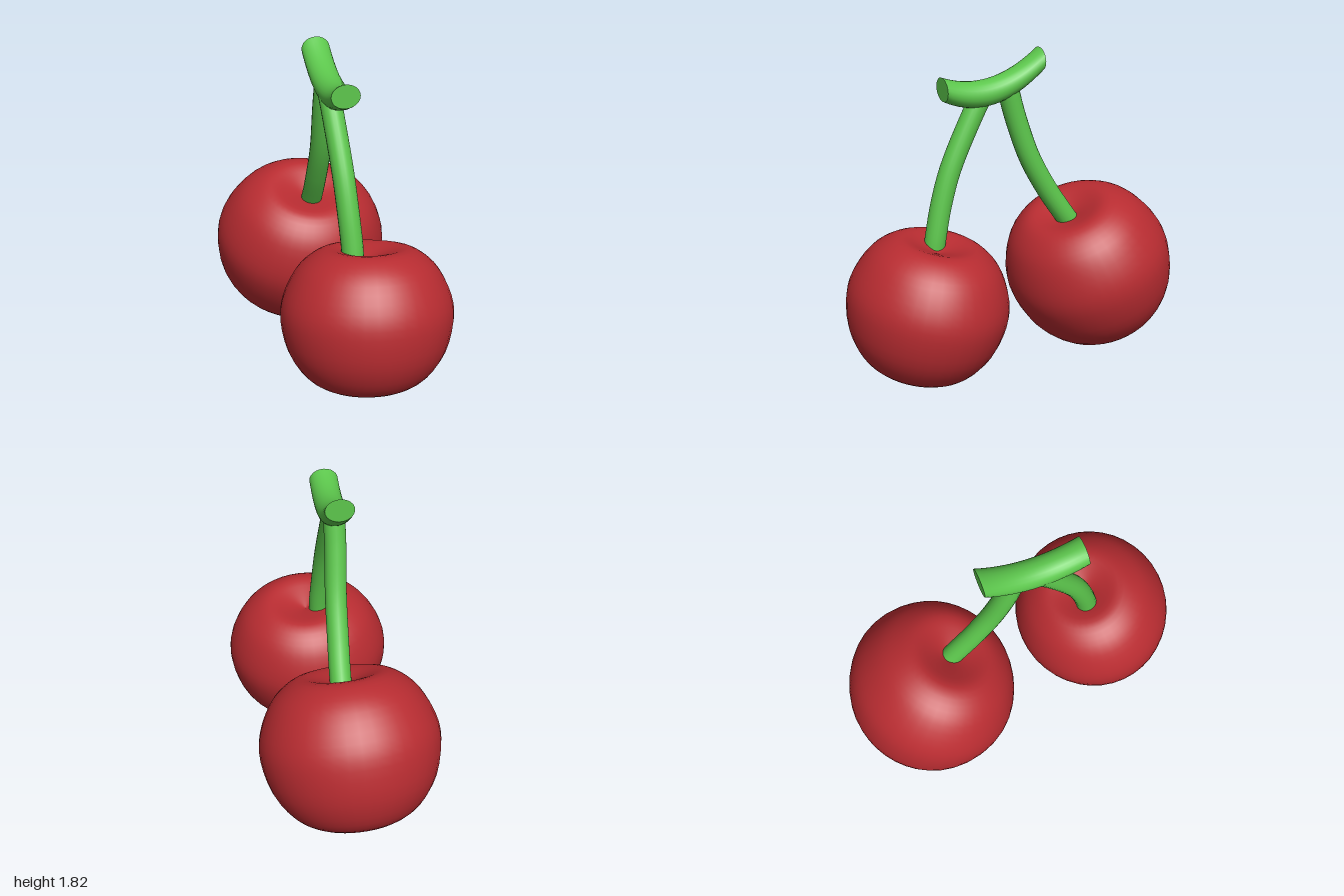
import * as THREE from 'three';
import { mergeGeometries } from 'three/addons/utils/BufferGeometryUtils.js';

const red = new THREE.MeshStandardMaterial({ color: 0xb82c31 });
const green = new THREE.MeshStandardMaterial({ color: 0x5cc64c });

function add(parent, name, geometry, material) {
  const mesh = new THREE.Mesh(geometry, material);
  mesh.name = name;
  parent.add(mesh);
  return mesh;
}

// Cherry body: squat round profile with flattened base and a dimple on top
function cherryGeometry() {
  const profile = [
    [0, -0.405], [0.1, -0.4], [0.23, -0.375], [0.34, -0.305], [0.43, -0.17], [0.47, 0],
    [0.455, 0.13], [0.39, 0.265], [0.31, 0.345], [0.22, 0.385], [0.12, 0.365], [0, 0.325],
  ].map(([r, y]) => new THREE.Vector2(r, y));
  const points = new THREE.SplineCurve(profile).getPoints(33);
  points.forEach((p) => { p.x = Math.max(p.x, 0); });
  points[0].x = points[points.length - 1].x = 0;
  return new THREE.LatheGeometry(points, 40);
}

// Curved round stem with closed ends
function stemGeometry(points, radius) {
  const curve = new THREE.CatmullRomCurve3(points.map((p) => new THREE.Vector3(...p)));
  const parts = [new THREE.TubeGeometry(curve, 20, radius, 20)];
  for (const [t, sign] of [[0, -1], [1, 1]]) {
    const direction = curve.getTangent(t).multiplyScalar(sign);
    const cap = new THREE.CircleGeometry(radius, 20);
    cap.applyQuaternion(new THREE.Quaternion().setFromUnitVectors(new THREE.Vector3(0, 0, 1), direction));
    cap.translate(...curve.getPoint(t).toArray());
    parts.push(cap);
  }
  return mergeGeometries(parts);
}

// Sagging twig: a cylinder along z, bent upward by a parabola, ends cut upright
function twigGeometry() {
  const geometry = new THREE.CylinderGeometry(0.08, 0.08, 0.58, 24, 20);
  geometry.rotateX(Math.PI / 2);
  geometry.translate(-0.02, 0, 0.11);
  const pos = geometry.attributes.position;
  for (let i = 0; i < pos.count; i++) {
    const z = pos.getZ(i);
    const thickness = 0.92 - 1.2 * (z - 0.11) ** 2;
    pos.setY(i, pos.getY(i) * thickness + 1.6 + 1.12 * (z - 0.19) ** 2);
  }
  geometry.computeVertexNormals();
  return geometry;
}

export function createModel() {
  const model = new THREE.Group();
  model.name = 'cherryPair';

  const body = cherryGeometry();
  const front = add(model, 'frontCherry', body, red);
  front.position.set(0.06, 0.44, 0.55);
  front.rotation.set(-0.19, 0, -0.05);
  front.scale.set(1, 1, 0.955);

  const back = add(model, 'backCherry', body, red);
  back.position.set(-0.03, 0.467, -0.52);
  back.rotation.set(0.4, 0, -0.06);
  back.scale.set(1.064, 1.085, 1.02);

  add(model, 'frontStem', stemGeometry([
    [0, 0.74, 0.478], [0, 0.82, 0.465], [-0.01, 1.0, 0.425], [-0.02, 1.2, 0.36],
    [-0.035, 1.5, 0.21], [-0.04, 1.6, 0.15],
  ], 0.06), green);
  add(model, 'backStem', stemGeometry([
    [0, 0.765, -0.375], [0, 0.83, -0.33], [-0.005, 1.0, -0.22], [-0.01, 1.2, -0.115],
    [-0.02, 1.45, -0.03], [-0.02, 1.6, 0.01],
  ], 0.06), green);
  add(model, 'twig', twigGeometry(), green);
  return model;
}
